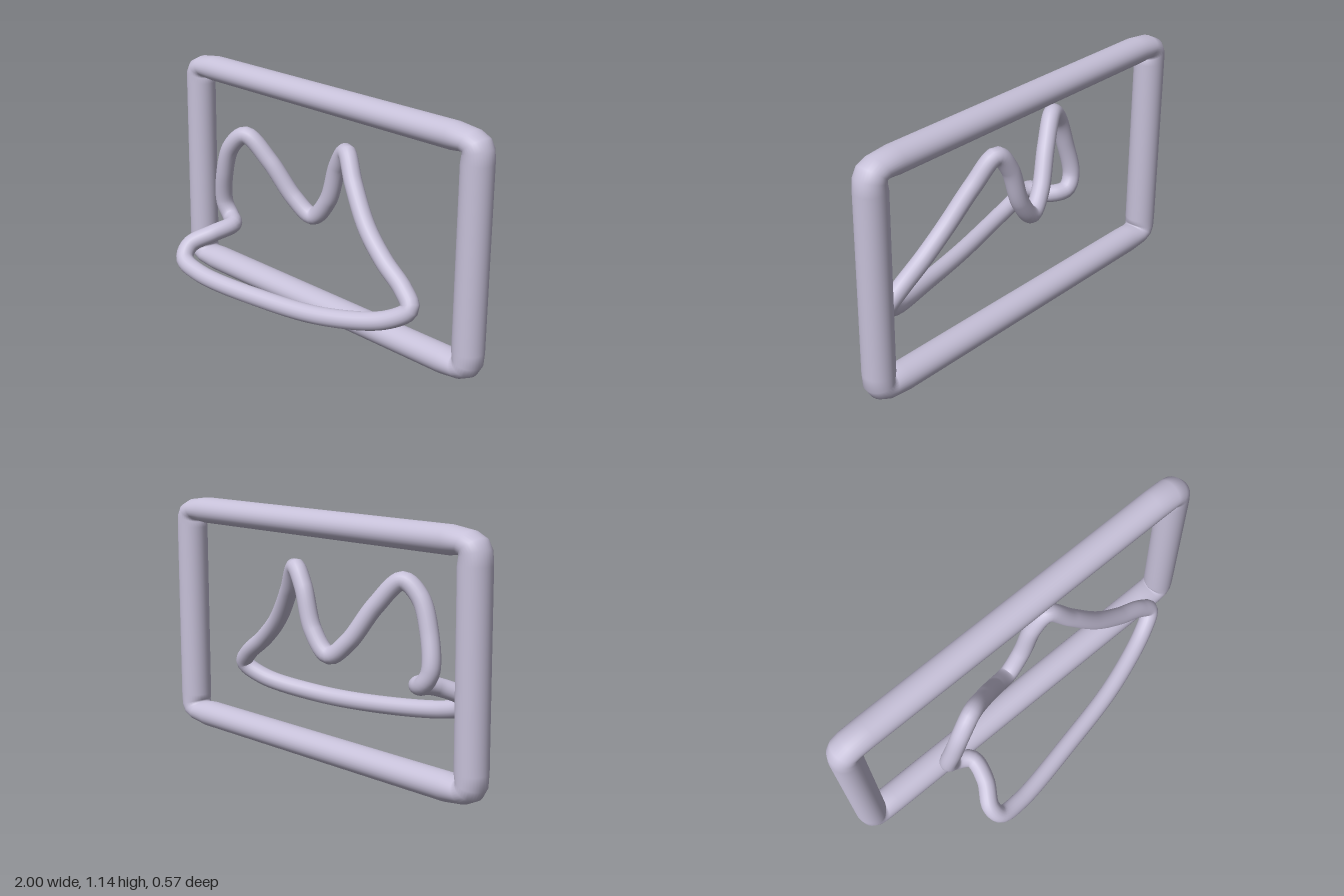
import * as THREE from 'three';

const lavender = new THREE.MeshStandardMaterial({ color: 0xc6c0d8 });
lavender.name = 'lavender grey';

// One frame corner: outer x, y and inner x, y, relative to the frame centre
const CORNER = [
  [1, 0.42, 0.855, 0.42],
  [0.993, 0.485, 0.863, 0.447],
  [0.965, 0.53, 0.868, 0.455],
  [0.91, 0.556, 0.858, 0.454],
  [0.8, 0.57, 0.8, 0.447],
];

// Rounded bar swept around the rectangle between outer and inner outlines
function frameGeometry(depth, sides) {
  const sections = [];
  [[1, 1], [-1, 1], [-1, -1], [1, -1]].forEach(([sx, sy], q) => {
    const corner = q % 2 ? [...CORNER].reverse() : CORNER;
    for (const [ox, oy, ix, iy] of corner) sections.push([sx * ox, sy * oy, sx * ix, sy * iy]);
  });
  const position = [];
  const index = [];
  const n = sections.length;
  sections.forEach(([ox, oy, ix, iy], j) => {
    for (let k = 0; k < sides; k++) {
      const a = (k / sides) * Math.PI * 2;
      const t = (1 + Math.cos(a)) / 2;
      position.push(ix + (ox - ix) * t, iy + (oy - iy) * t, Math.sin(a) * depth);
      const j2 = (j + 1) % n;
      const k2 = (k + 1) % sides;
      const p = j * sides + k, r = j2 * sides + k, s = j2 * sides + k2, u = j * sides + k2;
      index.push(p, r, s, p, s, u);
    }
  });
  const geometry = new THREE.BufferGeometry();
  geometry.setAttribute('position', new THREE.Float32BufferAttribute(position, 3));
  geometry.setIndex(index);
  geometry.computeVertexNormals();
  return geometry;
}

// Centre line of the mountain-shaped loop
const LOOP = [
  [-0.38, 0.855, -0.06], // left peak
  [-0.46, 0.79, -0.035],
  [-0.515, 0.65, -0.035],
  [-0.545, 0.48, -0.055],
  [-0.505, 0.415, -0.06],
  [-0.44, 0.4, -0.02], // small hook
  [-0.455, 0.375, 0.09],
  [-0.51, 0.325, 0.19],
  [-0.49, 0.27, 0.238],
  [-0.37, 0.23, 0.238], // front bottom sweep
  [0, 0.198, 0.165],
  [0.35, 0.203, 0.085],
  [0.63, 0.255, -0.015],
  [0.717, 0.32, -0.065], // right tip
  [0.66, 0.385, -0.082],
  [0.53, 0.475, -0.092],
  [0.4, 0.59, -0.11],
  [0.27, 0.75, -0.15],
  [0.17, 0.87, -0.195], // right peak
  [0.1, 0.79, -0.21],
  [0.03, 0.6, -0.215],
  [-0.065, 0.5, -0.205], // valley
  [-0.16, 0.57, -0.175],
  [-0.27, 0.74, -0.115],
];

export function createModel() {
  const group = new THREE.Group();

  const frame = new THREE.Mesh(frameGeometry(0.0725, 32), lavender);
  frame.name = 'frame';
  frame.position.set(0, 0.574, -0.2125);
  group.add(frame);

  const path = new THREE.CatmullRomCurve3(LOOP.map((p) => new THREE.Vector3(...p)), true);
  const loop = new THREE.Mesh(new THREE.TubeGeometry(path, 220, 0.042, 20, true), lavender);
  loop.name = 'mountainLoop';
  group.add(loop);

  return group;
}
